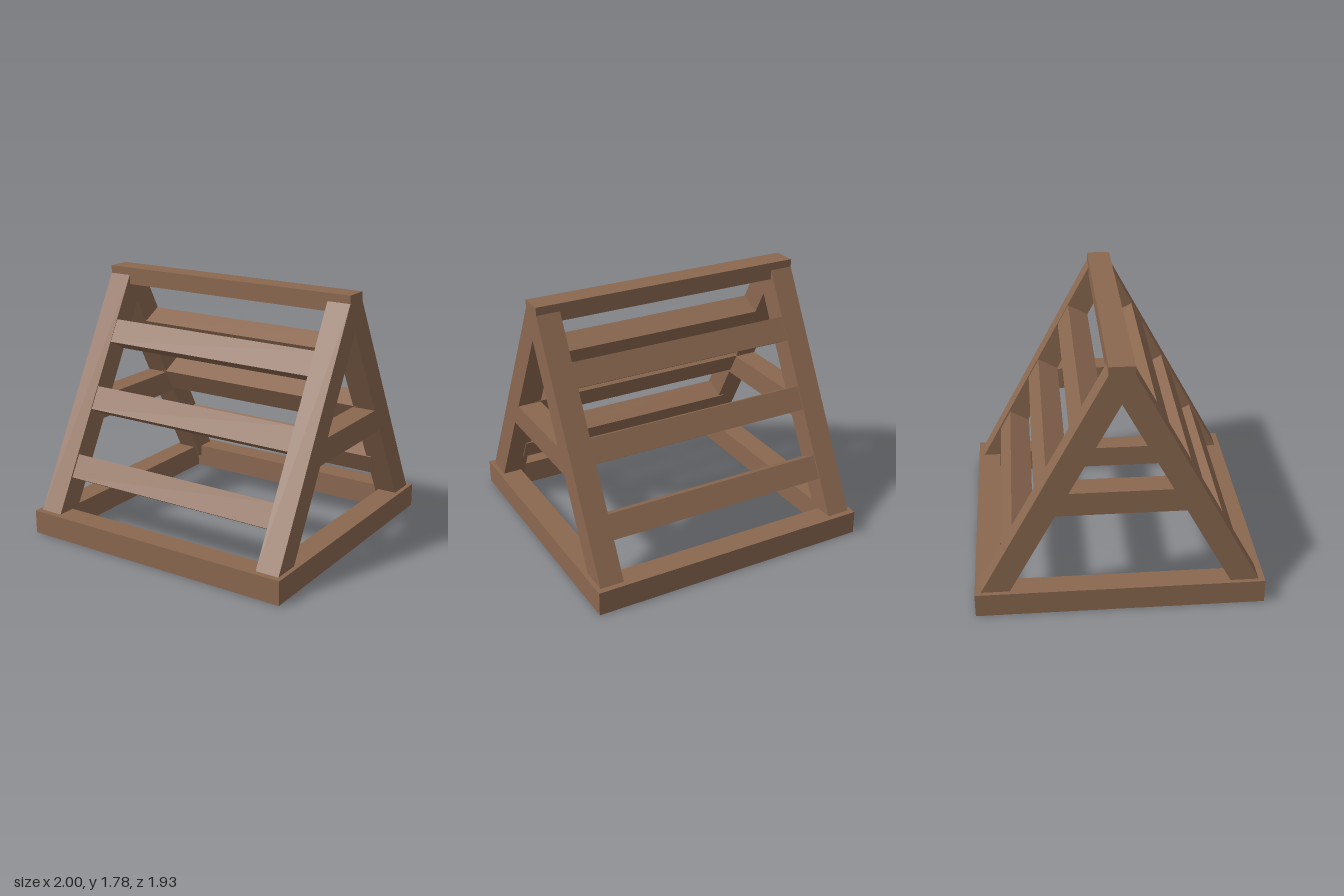
import * as THREE from 'three';

export function createModel() {
  const model = new THREE.Group();
  model.name = 'slattedWoodenFrame';
  const wood = new THREE.MeshStandardMaterial({ color: 0x8b6850 });
  const tilt = 0.495; // lean of the legs from vertical

  function beam(name, size, position, rotationX = 0) {
    const mesh = new THREE.Mesh(new THREE.BoxGeometry(...size), wood);
    mesh.name = name;
    mesh.position.set(...position);
    mesh.rotation.x = rotationX;
    model.add(mesh);
  }

  // Ridge beam along the top
  beam('ridgeBeam', [1.94, 0.12, 0.165], [0, 1.72, 0]);

  // Side rails of the base and cross ties of the A-frames
  for (const [side, sx] of [['left', 1], ['right', -1]]) {
    beam(side + 'BaseRail', [0.165, 0.167, 1.6], [sx * 0.9175, 0.0835, 0]);
    beam(side + 'CrossTie', [0.165, 0.165, 0.95], [sx * 0.8875, 0.823, 0]);
  }

  for (const [face, sz] of [['front', 1], ['back', -1]]) {
    // Long base rail
    beam(face + 'BaseRail', [2, 0.167, 0.167], [0, 0.0835, sz * 0.8815]);

    // Leaning legs, crossing at the ridge
    for (const [side, sx] of [['Left', 1], ['Right', -1]]) {
      beam(face + side + 'Leg', [0.165, 1.779, 0.167], [sx * 0.8875, 0.908, sz * 0.429], -sz * tilt);
    }

    // Slats between the legs: [height, depth]
    [[0.436, 0.673], [0.878, 0.44], [1.318, 0.206]].forEach(([y, z], i) => {
      beam(face + 'Slat' + (i + 1), [1.69, 0.169, 0.163], [0, y, sz * z], -sz * tilt);
    });
  }

  return model;
}
